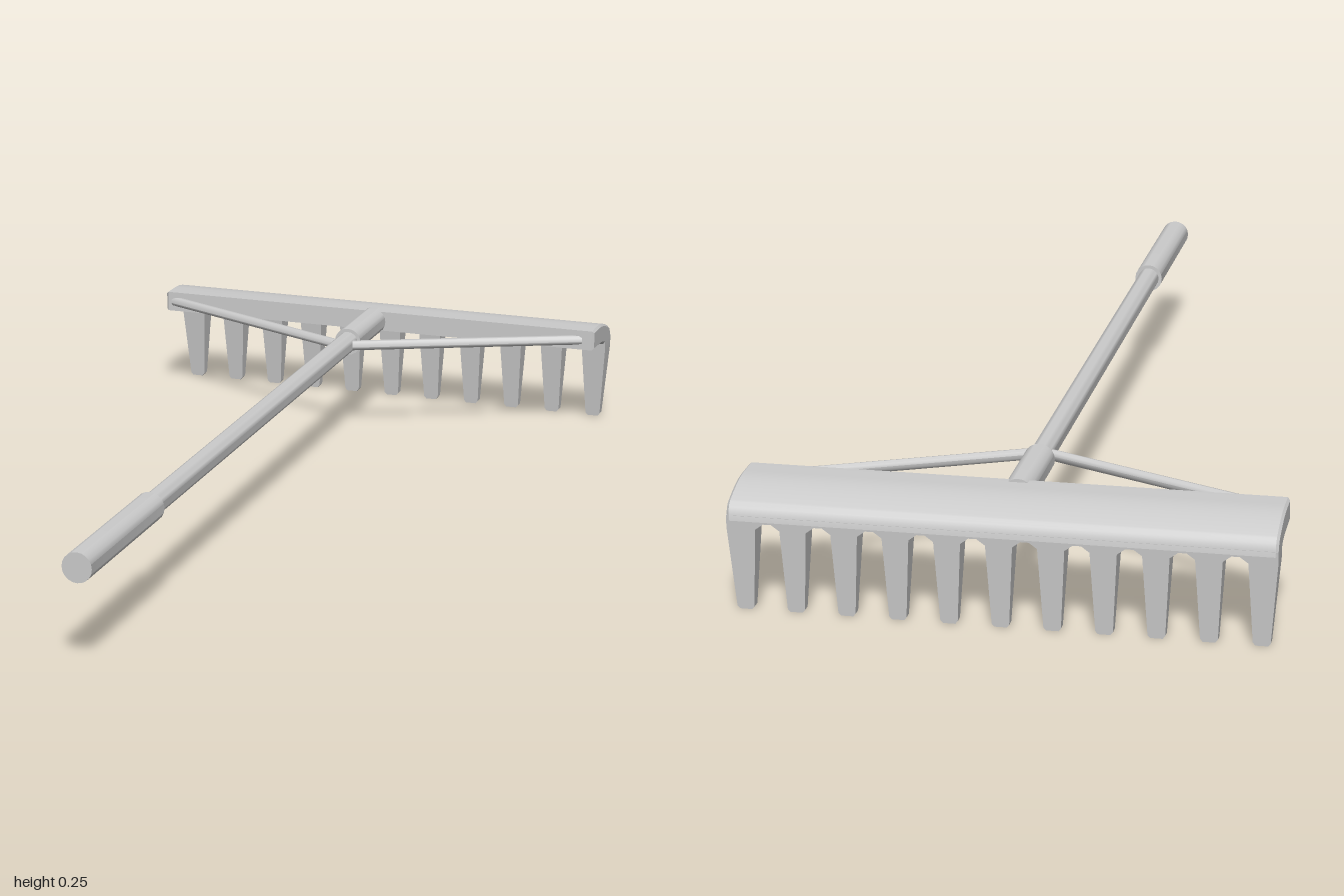
import * as THREE from 'three';
import { toCreasedNormals } from 'three/addons/utils/BufferGeometryUtils.js';

const grey = new THREE.MeshStandardMaterial({ color: 0xcccccc });
const AXIS_X = -0.007, AXIS_Y = 0.22;

export function createModel() {
  const root = new THREE.Group();
  const add = (name, geometry) => {
    const mesh = new THREE.Mesh(geometry, grey);
    mesh.name = name;
    root.add(mesh);
    return mesh;
  };

  // Round rod between two points
  const rod = (name, a, b, radius, sides = 20) => {
    const dir = b.clone().sub(a);
    const mesh = add(name, toCreasedNormals(
      new THREE.CylinderGeometry(radius, radius, dir.length(), sides), 0.8));
    mesh.position.copy(a).add(b).multiplyScalar(0.5);
    mesh.quaternion.setFromUnitVectors(new THREE.Vector3(0, 1, 0), dir.normalize());
    return mesh;
  };
  const at = (x, z) => new THREE.Vector3(AXIS_X + x, AXIS_Y, z);

  // Handle
  rod('shaft', at(0, 0.63), at(0, -0.66), 0.0235);
  rod('grip', at(0, 1), at(0, 0.62), 0.031);
  rod('socket', at(0, -0.64), at(0, -0.845), 0.031);

  // Diagonal braces
  for (const side of [1, -1]) {
    rod(side > 0 ? 'leftBrace' : 'rightBrace', at(0, -0.605), at(side * 0.505, -0.838), 0.0115, 10);
  }

  // Curved head plate: section drawn as (-z, y), run along x
  const bevel = 0.005, halfWidth = 0.53;
  const section = new THREE.Shape();
  section.moveTo(0.835, 0.203);
  section.lineTo(0.895, 0.2);
  section.quadraticCurveTo(0.93, 0.197, 0.942, 0.189);
  section.lineTo(0.99, 0.189);
  section.quadraticCurveTo(0.987, 0.211, 0.974, 0.216);
  section.quadraticCurveTo(0.92, 0.239, 0.875, 0.239);
  section.lineTo(0.835, 0.239);
  section.closePath();
  const length = 2 * (halfWidth - bevel);
  const plate = new THREE.ExtrudeGeometry(section, {
    depth: length, bevelEnabled: true, bevelSize: bevel, bevelThickness: bevel,
    bevelSegments: 1, curveSegments: 6,
  });
  plate.translate(0, 0, -length / 2).rotateY(Math.PI / 2);
  add('headPlate', toCreasedNormals(plate, 0.5));

  // Comb of eleven tapered teeth, with small arches between them
  const comb = new THREE.Shape();
  comb.moveTo(-halfWidth, 0.195);
  for (let i = -5; i <= 5; i++) {
    const x = i * 0.1;
    comb.lineTo(x - (i === -5 ? 0.03 : 0.026), 0.168);
    comb.lineTo(x - 0.017, 0.006);
    comb.lineTo(x - 0.012, 0);
    comb.lineTo(x + 0.012, 0);
    comb.lineTo(x + 0.017, 0.006);
    comb.lineTo(x + (i === 5 ? 0.03 : 0.026), 0.168);
    if (i < 5) {
      comb.lineTo(x + 0.042, 0.18);
      comb.lineTo(x + 0.058, 0.18);
    }
  }
  comb.lineTo(halfWidth, 0.195);
  comb.closePath();
  const teeth = new THREE.ExtrudeGeometry(comb, { depth: 1, bevelEnabled: false });

  // Teeth thin out towards the tips
  const pos = teeth.attributes.position;
  for (let i = 0; i < pos.count; i++) {
    const t = pos.getY(i) / 0.195;
    const back = THREE.MathUtils.lerp(-0.981, -0.994, t);
    const front = THREE.MathUtils.lerp(-0.963, -0.94, t);
    pos.setZ(i, THREE.MathUtils.lerp(back, front, pos.getZ(i)));
  }
  add('teeth', toCreasedNormals(teeth, 0.4));

  return root;
}
